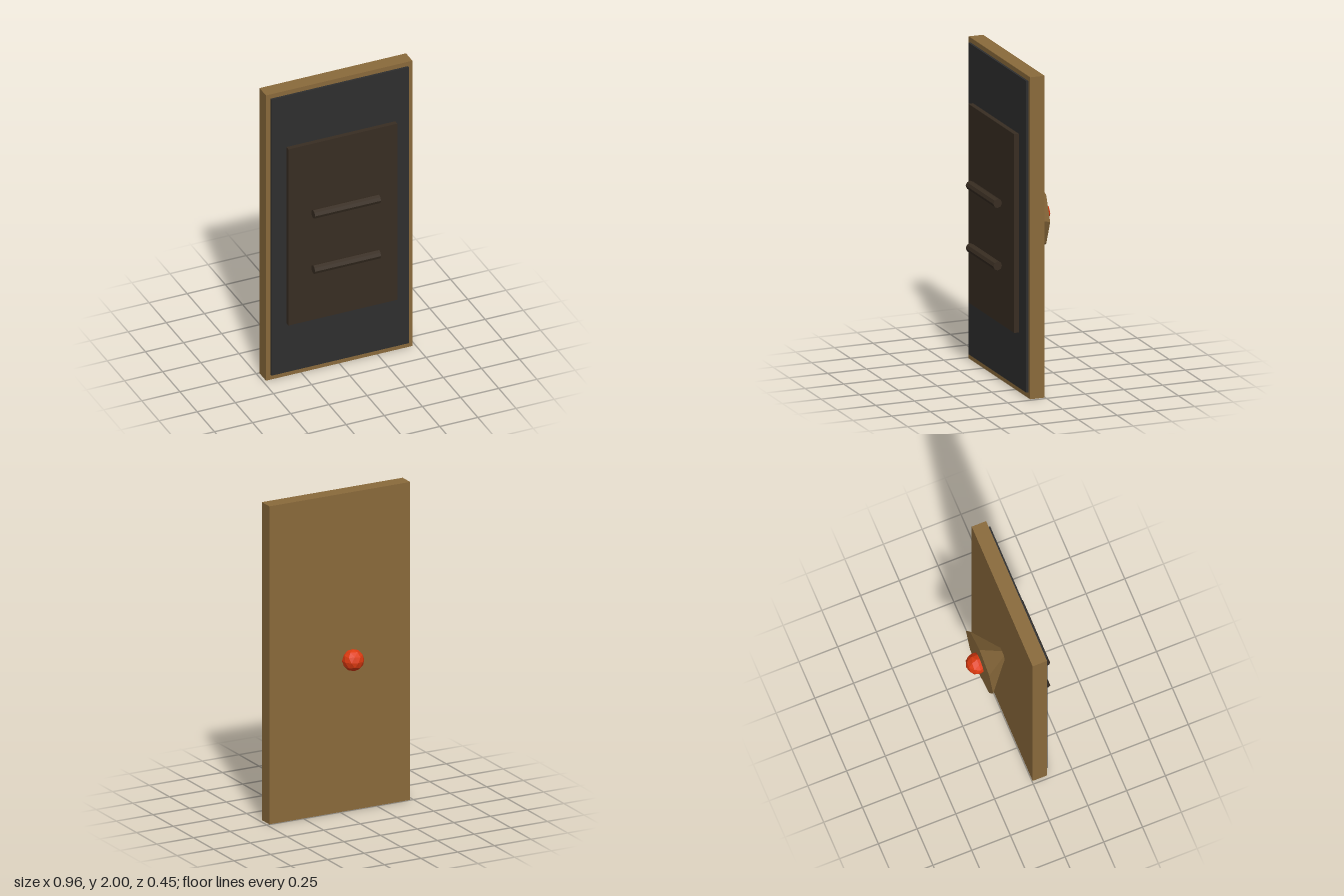
import * as THREE from 'three';

const wood = new THREE.MeshStandardMaterial({ color: 0x8a6a3b });
wood.name = 'brown wood';
const charcoal = new THREE.MeshStandardMaterial({ color: 0x2e2e2e });
charcoal.name = 'charcoal';
const darkWood = new THREE.MeshStandardMaterial({ color: 0x382d22 });
darkWood.name = 'dark brown';
const red = new THREE.MeshStandardMaterial({ color: 0xdd3a10 });
red.name = 'red';

// Gives every face its own normal
function faceted(geometry) {
  const g = geometry.index ? geometry.toNonIndexed() : geometry;
  g.computeVertexNormals();
  return g;
}

export function createModel() {
  const model = new THREE.Group();
  model.name = 'shield';

  function add(name, geometry, material, y, z) {
    const mesh = new THREE.Mesh(geometry, material);
    mesh.name = name;
    mesh.position.set(0, y, z);
    model.add(mesh);
  }

  // Slab placed by its width, height range and depth range
  function addSlab(name, material, width, y0, y1, z0, z1) {
    add(name, new THREE.BoxGeometry(width, y1 - y0, z1 - z0), material, (y0 + y1) / 2, (z0 + z1) / 2);
  }

  // Layered boards
  addSlab('mainBoard', wood, 0.96, 0, 2, 0.004, 0.097);
  addSlab('liningPanel', charcoal, 0.9, 0.035, 1.97, 0.097, 0.111);
  addSlab('paddingPlate', darkWood, 0.714, 0.385, 1.62, 0.12, 0.15);

  // Two horizontal grip bars
  for (const [name, y] of [['upperGrip', 1.157], ['lowerGrip', 0.769]]) {
    const bar = new THREE.CylinderGeometry(0.028, 0.028, 0.432, 8).rotateZ(Math.PI / 2);
    add(name, faceted(bar), darkWood, y, 0.198);
  }

  // Octagonal boss flaring out toward the back
  const boss = new THREE.CylinderGeometry(0.04, 0.215, 0.146, 8).rotateX(Math.PI / 2);
  add('boss', faceted(boss), wood, 1.004, -0.069);

  // Faceted ball set in the boss, turned so one corner points up
  const ball = new THREE.IcosahedronGeometry(0.068, 1).rotateZ(Math.atan(2 / (1 + Math.sqrt(5))));
  add('bossBall', faceted(ball), red, 1.004, -0.16);

  return model;
}
